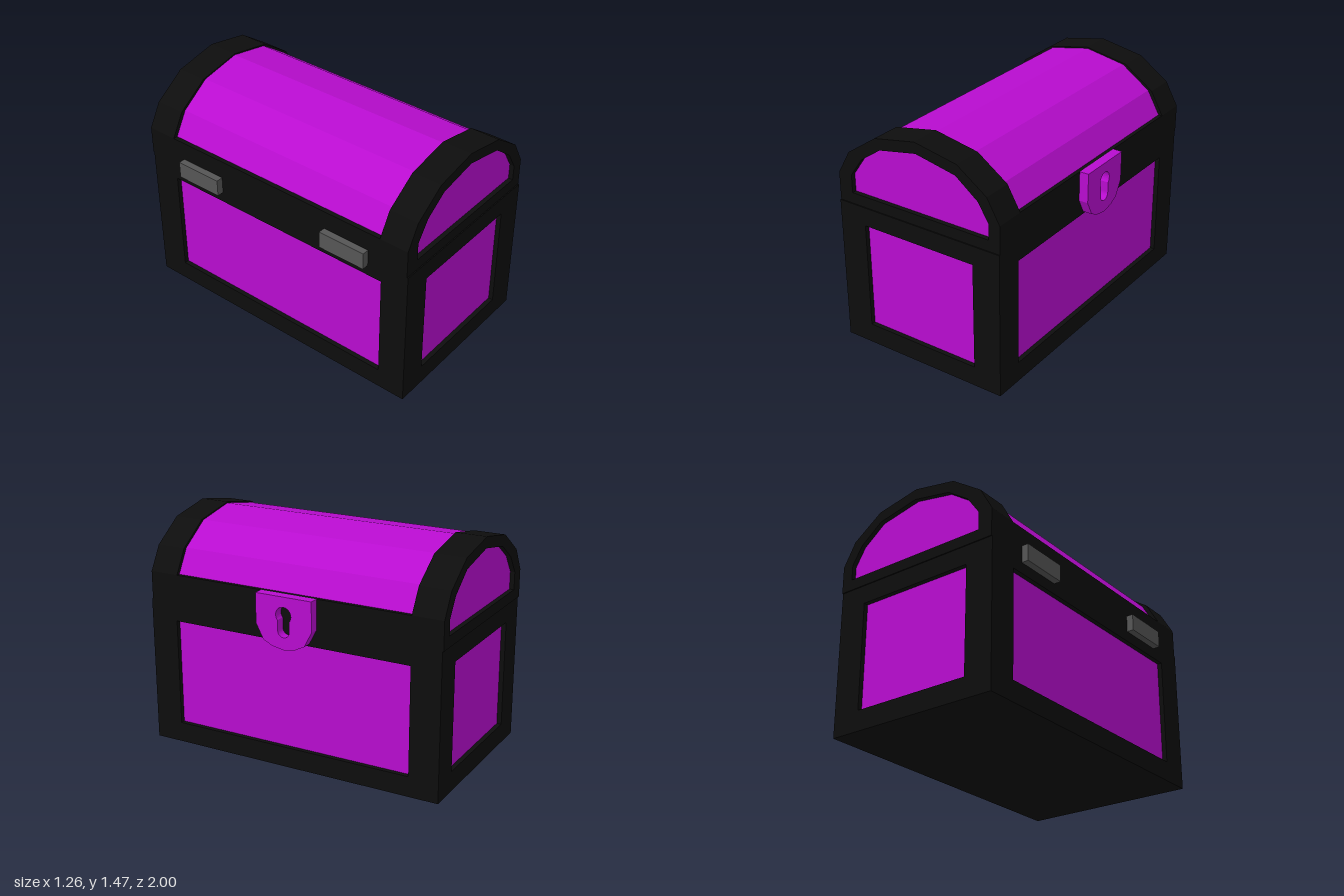
import * as THREE from 'three';

const purple = new THREE.MeshStandardMaterial({ color: 0xb80ccf, flatShading: true });
const black = new THREE.MeshStandardMaterial({ color: 0x0d0d0d, flatShading: true });
const grey = new THREE.MeshStandardMaterial({ color: 0x555555, flatShading: true });

const shapeOf = (pts) => new THREE.Shape(pts.map(([x, y]) => new THREE.Vector2(x, y)));

export function createModel() {
  const model = new THREE.Group();

  const add = (parent, name, geometry, material) => {
    const mesh = new THREE.Mesh(geometry, material);
    mesh.name = name;
    parent.add(mesh);
    return mesh;
  };
  // Box given by its lower and upper limits on each axis
  const box = (parent, name, material, x0, x1, y0, y1, z0, z1) => {
    const mesh = add(parent, name, new THREE.BoxGeometry(x1 - x0, y1 - y0, z1 - z0), material);
    mesh.position.set((x0 + x1) / 2, (y0 + y1) / 2, (z0 + z1) / 2);
  };
  // Profile in x and y, extruded between two z limits
  const prism = (parent, name, material, shape, z0, z1) => {
    const geometry = new THREE.ExtrudeGeometry(shape, { depth: z1 - z0, bevelEnabled: false });
    add(parent, name, geometry, material).position.z = z0;
  };

  const X0 = -0.585, X1 = 0.57, inset = 0.03;

  // Body: recessed panels inside a frame of plates and corner posts
  const body = new THREE.Group();
  body.name = 'body';
  model.add(body);
  const B0 = -0.993, B1 = 1;
  box(body, 'bodyPanels', purple, X0 + inset, X1 - inset, 0.1, 0.85, B0 + inset, B1 - inset);
  box(body, 'bottomFrame', black, X0, X1, 0, 0.13, B0, B1);
  box(body, 'upperFrame', black, X0, X1, 0.82, 0.94, B0, B1);
  for (const [x0, x1] of [[X0, -0.4], [0.385, X1]]) {
    for (const [z0, z1] of [[B0, -0.8], [0.815, B1]]) {
      box(body, 'cornerPost', black, x0, x1, 0.13, 0.82, z0, z1);
    }
  }

  // Lid: faceted barrel between two arched ends with recessed panels
  const lid = new THREE.Group();
  lid.name = 'lid';
  model.add(lid);
  const archPoints = [[X0, 0.94], [X1, 0.94], [X1, 1.12], [0.485, 1.27], [0.285, 1.41],
    [-0.005, 1.465], [-0.295, 1.41], [-0.5, 1.27], [X0, 1.12]];
  const panelPoints = [[-0.49, 1.01], [0.495, 1.01], [0.495, 1.11], [0.425, 1.225], [0.275, 1.34],
    [0, 1.395], [-0.26, 1.345], [-0.405, 1.245], [-0.49, 1.125]];
  const barrelPoints = [[-0.555, 1.0], [0.545, 1.0], [0.545, 1.12], [0.46, 1.27], [0.267, 1.405],
    [-0.005, 1.457], [-0.277, 1.405], [-0.47, 1.27], [-0.555, 1.12]];
  const arch = shapeOf(archPoints);
  arch.holes.push(shapeOf(panelPoints));
  box(lid, 'lidBand', black, X0, X1, 0.94, 1.12, -0.81, 0.805);
  prism(lid, 'barrel', purple, shapeOf(barrelPoints), -0.81, 0.81);
  for (const [z0, z1, p0, p1] of [[0.8, 0.993, 0.8, 0.963], [-1, -0.8, -0.97, -0.8]]) {
    prism(lid, 'archedEnd', black, arch, z0, z1);
    prism(lid, 'endPanel', purple, shapeOf(panelPoints), p0, p1);
  }

  // Lock plate with a keyhole cut through, on the +x side
  const plate = shapeOf([[-0.19, 1.12], [-0.19, 0.93], [-0.14, 0.835], [-0.08, 0.805], [0, 0.79],
    [0.08, 0.805], [0.14, 0.835], [0.19, 0.93], [0.19, 1.12]]);
  const keyhole = new THREE.Path();
  keyhole.absarc(0, 1.005, 0.052, -0.7, Math.PI + 0.7, false);
  keyhole.absarc(0, 0.908, 0.04, Math.PI, Math.PI * 2, false);
  keyhole.closePath();
  plate.holes.push(keyhole);
  const lock = add(model, 'lockPlate',
    new THREE.ExtrudeGeometry(plate, { depth: 0.06, bevelEnabled: false, curveSegments: 10 }), purple);
  lock.rotation.y = Math.PI / 2;
  lock.position.x = X1;

  // Hinges on the -x side
  for (const side of [-1, 1]) {
    box(model, 'hinge', grey, -0.63, X0 + 0.01, 0.89, 1.0, side * 0.56 - 0.16, side * 0.56 + 0.16);
  }
  return model;
}
